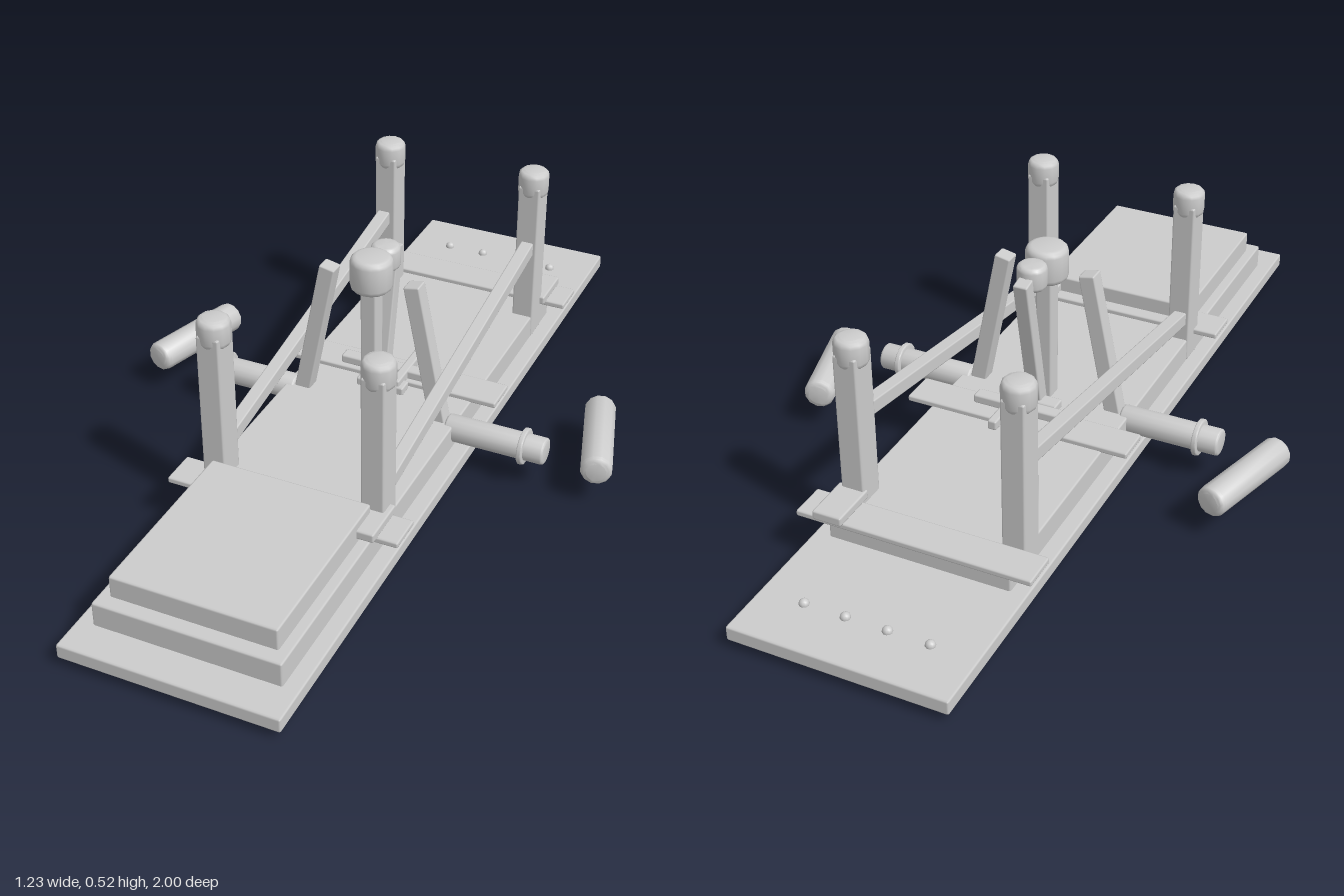
import * as THREE from 'three';
import { toCreasedNormals } from 'three/addons/utils/BufferGeometryUtils.js';
import { RoundedBoxGeometry } from 'three/addons/geometries/RoundedBoxGeometry.js';

export function createModel() {
  const model = new THREE.Group();
  const grey = new THREE.MeshStandardMaterial({ color: 0xcccccc });
  grey.name = 'light grey';

  function add(name, geometry, x = 0, y = 0, z = 0) {
    const mesh = new THREE.Mesh(geometry, grey);
    mesh.name = name;
    mesh.position.set(x, y, z);
    model.add(mesh);
    return mesh;
  }

  // Softly bevelled block given by its extents
  function block(name, x0, x1, y0, y1, z0, z1) {
    const w = x1 - x0, h = y1 - y0, d = z1 - z0;
    const r = Math.min(0.005, Math.min(w, h, d) * 0.3);
    return add(name, new RoundedBoxGeometry(w, h, d, 1, r), (x0 + x1) / 2, (y0 + y1) / 2, (z0 + z1) / 2);
  }

  // Cylinder with rounded rims, centred on its own axis
  function roundedCylinder(r, h, bevel, sides = 16) {
    const points = [new THREE.Vector2(0, -h / 2)];
    for (const s of [-1, 1]) {
      for (let i = 0; i <= 3; i++) {
        const a = (s < 0 ? i - 3 : i) * Math.PI / 6;
        points.push(new THREE.Vector2(r - bevel + bevel * Math.cos(a), s * (h / 2 - bevel) + bevel * Math.sin(a)));
      }
    }
    points.push(new THREE.Vector2(0, h / 2));
    return toCreasedNormals(new THREE.LatheGeometry(points, sides), 0.7);
  }

  // Straight bar or turned part laid between two points
  function between(name, from, to, makeGeometry) {
    const a = new THREE.Vector3(...from), b = new THREE.Vector3(...to);
    const dir = b.clone().sub(a);
    const mesh = add(name, makeGeometry(dir.length()));
    mesh.position.copy(a).add(b).multiplyScalar(0.5);
    mesh.quaternion.setFromUnitVectors(new THREE.Vector3(0, 1, 0), dir.normalize());
    return mesh;
  }
  const barGeometry = (w, d) => (length) => new RoundedBoxGeometry(w, length, d, 1, 0.004);

  // Stacked boards
  block('baseBoard', -0.26, 0.26, 0.02, 0.056, -1, 1);
  block('upperBoard', -0.222, 0.222, 0.05, 0.115, -0.65, 0.915);
  block('frontPad', -0.197, 0.197, 0.11, 0.168, 0.435, 0.88);
  block('undersidePlate', -0.195, 0.195, 0, 0.025, -0.28, -0.11);
  add('undersideStud', roundedCylinder(0.02, 0.016, 0.004), 0, 0.02, -0.045);

  // Cross straps
  for (const z of [0.445, -0.135, -0.635]) {
    block('crossStrap', -0.285, 0.285, 0.112, 0.127, z - 0.045, z + 0.045);
  }
  block('frontLatch', 0.165, 0.237, 0.125, 0.148, 0.39, 0.51);
  block('rearLatch', 0.165, 0.237, 0.125, 0.148, -0.69, -0.57);

  // Corner posts, caps, sloping rails, side handles and grips
  for (const s of [-1, 1]) {
    for (const z of [0.395, -0.55]) {
      block('cornerPost', s * 0.197 - 0.028, s * 0.197 + 0.028, 0.056, 0.487, z - 0.035, z + 0.035);
      add('postCap', roundedCylinder(0.039, 0.07, 0.015, 12), s * 0.197, 0.49, z);
    }
    between('slopingRail', [s * 0.2, 0.172, 0.38], [s * 0.2, 0.318, -0.53], barGeometry(0.033, 0.036));
    between('leaningBar', [s * 0.18, 0.105, 0], [s * 0.107, 0.467, 0], barGeometry(0.04, 0.04));

    between('sideHandle', [s * 0.2, 0.095, 0], [s * 0.45, 0.095, 0], (l) => roundedCylinder(0.033, l, 0.006));
    between('handleCollar', [s * 0.389, 0.095, 0], [s * 0.402, 0.095, 0], (l) => roundedCylinder(0.045, l, 0.004));
    between('sideGrip', [s * 0.507, 0.095, -0.232], [s * 0.582, 0.095, 0.03], (l) => roundedCylinder(0.038, l, 0.014, 12));
  }

  // Centre lever with its two knobs
  block('centreLever', -0.02, 0.02, 0.1, 0.45, -0.022, 0.022);
  add('leverKnob', roundedCylinder(0.051, 0.088, 0.015, 16), 0, 0.473, 0);
  add('smallKnob', roundedCylinder(0.036, 0.062, 0.012, 16), 0, 0.476, -0.08);
  between('rearStay', [0, 0.11, -0.052], [0, 0.482, -0.129], barGeometry(0.036, 0.036));

  // Flat linkage at the foot of the lever
  block('linkBar', -0.13, 0.13, 0.125, 0.148, -0.137, -0.103);
  block('linkFoot', -0.062, 0.062, 0.112, 0.135, -0.085, -0.045);
  block('linkArm', 0.027, 0.05, 0.125, 0.15, -0.222, -0.05);

  // Row of studs at the rear
  for (const x of [-0.15, -0.05, 0.05, 0.15]) {
    add('rearStud', new THREE.SphereGeometry(0.012, 10, 8), x, 0.058, -0.87);
  }
  return model;
}
